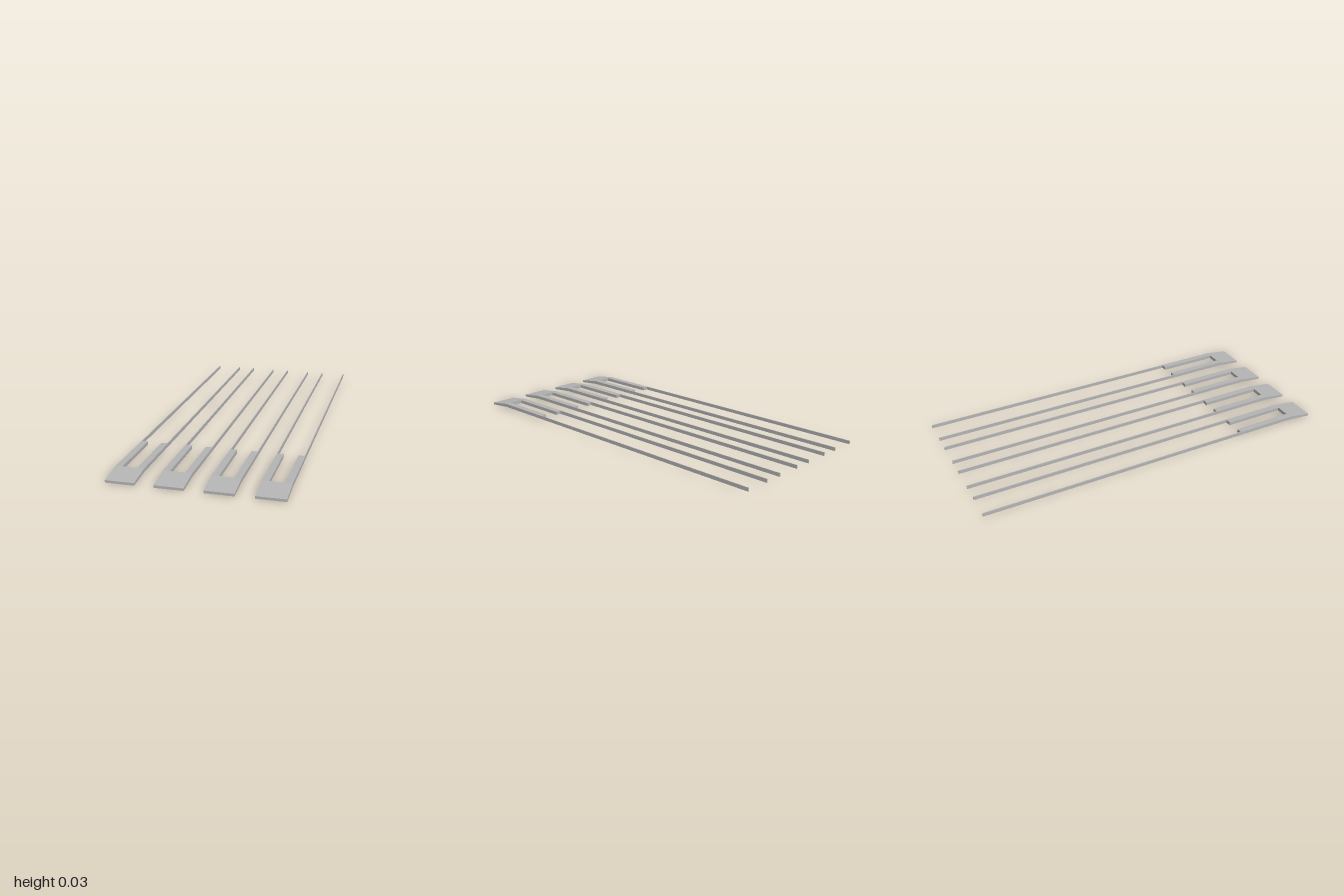
import * as THREE from 'three';

const steel = new THREE.MeshStandardMaterial({ color: 0xb4b4b4 });
steel.name = 'grey steel';

const WIDTH = 0.148, ARM = 0.036, ROD = 0.005;
const LOW = 0.013, TOP = 0.032;
const ROOT = 0.865, ARM_END = 0.52;

// Box given by its limits along each axis
function block(name, x0, x1, y0, y1, z0, z1) {
  const geo = new THREE.BoxGeometry(x1 - x0, y1 - y0, z1 - z0);
  geo.translate((x0 + x1) / 2, (y0 + y1) / 2, (z0 + z1) / 2);
  const mesh = new THREE.Mesh(geo, steel);
  mesh.name = name;
  return mesh;
}

// Sloping front plate: side profile extruded across the width
function rampPlate() {
  const side = new THREE.Shape([
    new THREE.Vector2(-1, 0),
    new THREE.Vector2(-ROOT, LOW),
    new THREE.Vector2(-ROOT, TOP),
    new THREE.Vector2(-1, LOW),
  ]);
  const geo = new THREE.ExtrudeGeometry(side, { depth: WIDTH, bevelEnabled: false });
  geo.translate(0, 0, -WIDTH / 2);
  geo.rotateY(Math.PI / 2); // profile -x becomes +z
  const mesh = new THREE.Mesh(geo, steel);
  mesh.name = 'rampPlate';
  return mesh;
}

// One unit: ramp plate, two flat arms and two thin rails along the outer edges
function fork() {
  const g = new THREE.Group();
  g.add(rampPlate());
  const h = WIDTH / 2;
  g.add(block('rightArm', -h, -h + ARM, LOW, TOP, ARM_END, ROOT));
  g.add(block('leftArm', h - ARM, h, LOW, TOP, ARM_END, ROOT));
  g.add(block('rightRail', -h, -h + ROD, LOW, TOP, -1, ARM_END));
  g.add(block('leftRail', h - ROD, h, LOW, TOP, -1, ARM_END));
  return g;
}

export function createModel() {
  const model = new THREE.Group();
  model.name = 'forkRow';
  for (let i = 0; i < 4; i++) {
    const f = fork();
    f.name = 'fork' + (i + 1);
    f.position.x = (i - 1.5) * 0.244;
    model.add(f);
  }
  return model;
}
